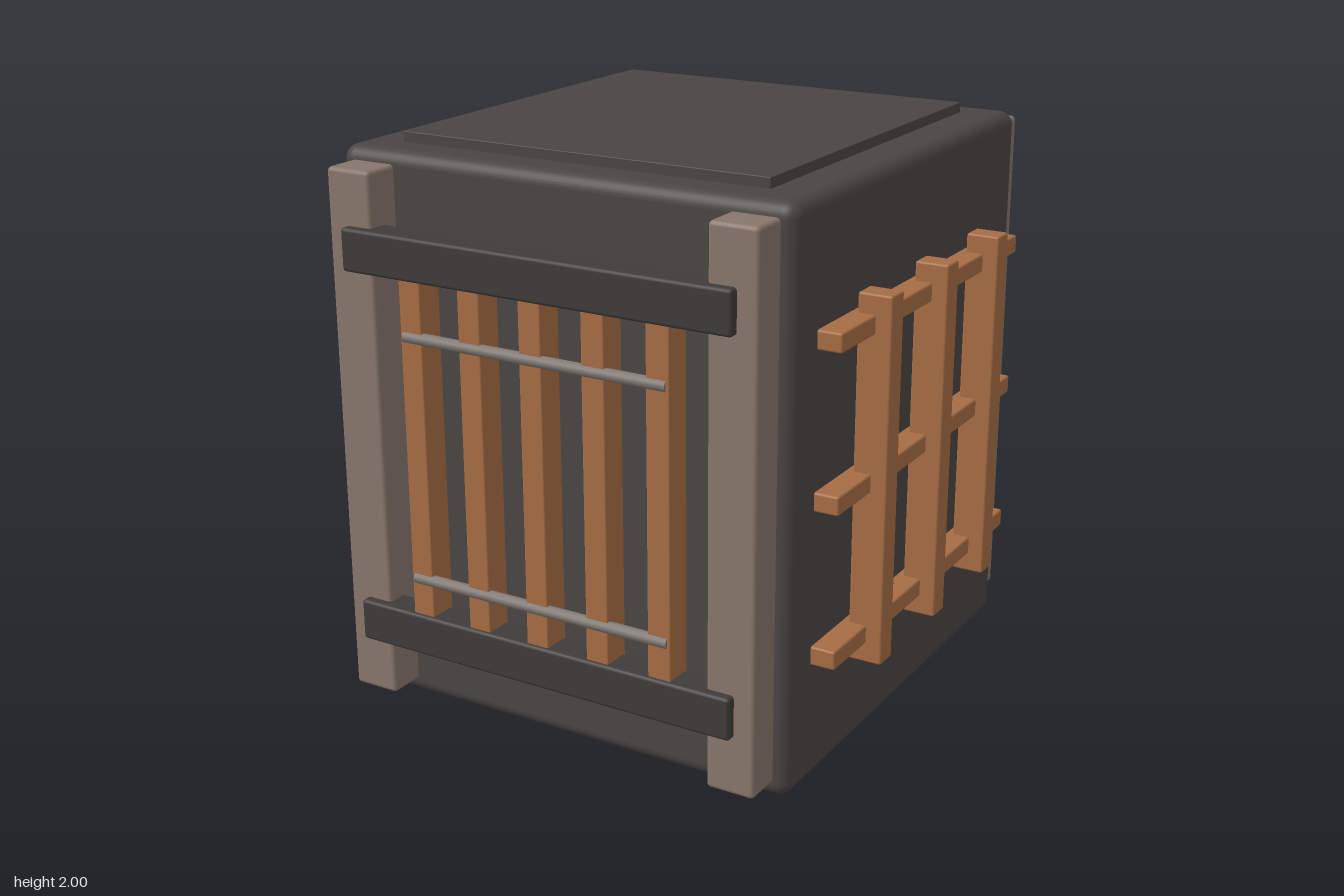
import * as THREE from 'three';
import { RoundedBoxGeometry } from 'three/addons/geometries/RoundedBoxGeometry.js';

const paint = (name, color) => {
  const m = new THREE.MeshStandardMaterial({ color });
  m.name = name;
  return m;
};

export function createModel() {
  const dark = paint('charcoal', 0x4a4543);
  const rail = paint('dark rail', 0x3e3b3a);
  const taupe = paint('taupe wood', 0x88766c);
  const wood = paint('orange wood', 0xa66d44);
  const metal = paint('grey metal', 0x7f7773);

  const model = new THREE.Group();
  model.name = 'slattedCrate';

  // Rounded box given by its size and centre
  const box = (parent, name, material, [w, h, d], [x, y, z], radius = 0.008, segments = 2) => {
    const mesh = new THREE.Mesh(new RoundedBoxGeometry(w, h, d, segments, radius), material);
    mesh.name = name;
    mesh.position.set(x, y, z);
    parent.add(mesh);
  };

  // Body with a shallow panel on the top and the bottom
  box(model, 'body', dark, [1.675, 1.93, 1.675], [0, 1, 0], 0.05, 4);
  box(model, 'topPanel', dark, [1.36, 0.06, 1.4], [0, 1.97, 0], 0.003);
  box(model, 'bottomPanel', dark, [1.36, 0.06, 1.4], [0, 0.03, 0], 0.003);

  // Front and back: posts, rails, slats and rods
  for (const [name, turn] of [['frontGrille', 0], ['backGrille', Math.PI]]) {
    const grille = new THREE.Group();
    grille.name = name;
    grille.rotation.y = turn;
    for (const x of [-0.703, 0.703])
      box(grille, 'cornerPost', taupe, [0.17, 1.83, 0.17], [x, 1.005, 0.88], 0.015);
    for (const y of [0.363, 1.663])
      box(grille, 'crossRail', rail, [1.435, 0.145, 0.11], [0, y, 0.943], 0.012);
    for (let i = -2; i <= 2; i++)
      box(grille, 'slat', wood, [0.083, 1.2, 0.103], [i * 0.23, 1.013, 0.933], 0.006);
    for (const y of [0.563, 1.403]) {
      const rod = new THREE.Mesh(new THREE.CylinderGeometry(0.02, 0.02, 0.98, 12), metal);
      rod.name = 'rod';
      rod.rotation.z = Math.PI / 2;
      rod.position.set(0, y, 0.975);
      grille.add(rod);
    }
    model.add(grille);
  }

  // Left and right: crossed lattice bars
  for (const [name, side] of [['leftLattice', 1], ['rightLattice', -1]]) {
    const lattice = new THREE.Group();
    lattice.name = name;
    for (let i = -1; i <= 1; i++) {
      box(lattice, 'uprightBar', wood, [0.117, 1.235, 0.085], [side * 0.917, 1.003, i * 0.42]);
      box(lattice, 'crossBar', wood, [0.095, 0.064, 1.375], [side * 0.873, 1.003 + i * 0.52, 0]);
    }
    model.add(lattice);
  }
  return model;
}
